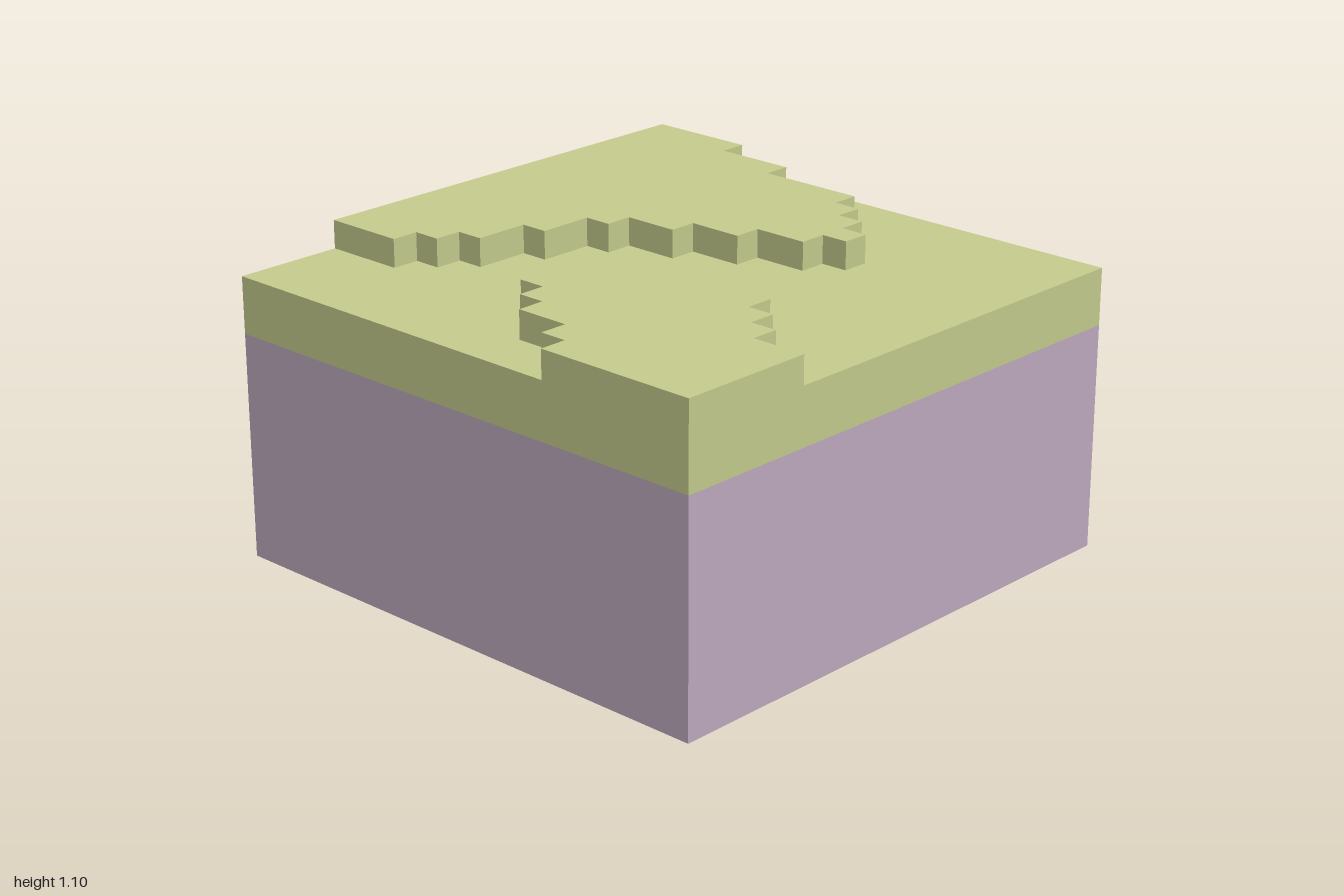
import * as THREE from 'three';

const grass = new THREE.MeshStandardMaterial({ name: 'grassGreen', color: 0xc3ca8c });
const rock = new THREE.MeshStandardMaterial({ name: 'mauveRock', color: 0xbca9be });

// Box slab covering the whole square between two heights
function slab(name, y0, y1, material) {
  const mesh = new THREE.Mesh(new THREE.BoxGeometry(2, y1 - y0, 2), material);
  mesh.position.y = (y0 + y1) / 2;
  mesh.name = name;
  return mesh;
}

// Raised terrace: columns are [xStart, xEnd, zBack, zFront], ordered along x
function terrace(name, columns) {
  const front = columns.flatMap(([x0, x1, , z]) => [[x0, z], [x1, z]]);
  const back = columns.flatMap(([x0, x1, z]) => [[x0, z], [x1, z]]).reverse();
  const outline = [...front, ...back]
    .filter(([x, z], i, a) => i === 0 || x !== a[i - 1][0] || z !== a[i - 1][1])
    .map(([x, z]) => new THREE.Vector2(x, -z));
  const geometry = new THREE.ExtrudeGeometry(new THREE.Shape(outline), { depth: 0.1, bevelEnabled: false });
  geometry.rotateX(-Math.PI / 2);
  const mesh = new THREE.Mesh(geometry, grass);
  mesh.position.y = 1;
  mesh.name = name;
  return mesh;
}

export function createModel() {
  const group = new THREE.Group();
  group.name = 'terrainBlock';

  // Rock base and the low grass layer
  group.add(slab('rockBase', 0, 0.8, rock), slab('grassLayer', 0.8, 1, grass));

  // Large terrace along the back, with a stepped front edge
  group.add(terrace('backTerrace', [
    [-0.6, -0.5, -0.7], [-0.5, -0.4, -0.6], [-0.4, -0.2, -0.5], [-0.2, 0, -0.4],
    [0, 0.1, -0.3], [0.1, 0.2, -0.1], [0.2, 0.3, 0.1], [0.3, 0.4, 0.3],
    [0.4, 0.5, 0.4], [0.5, 0.6, 0.3], [0.6, 0.7, 0.2], [0.7, 0.8, 0.1],
    [0.8, 0.9, -0.3], [0.9, 1, -0.6],
  ].map(([x0, x1, z]) => [x0, x1, -1, z])));

  // Smaller terrace in the front corner
  group.add(terrace('frontTerrace', [
    [-1, -0.9, 0.4, 1], [-0.9, -0.8, 0.3, 1], [-0.8, -0.7, 0.1, 1], [-0.7, -0.6, 0, 1],
    [-0.6, -0.5, -0.1, 1], [-0.5, -0.4, -0.1, 0.8], [-0.4, -0.3, 0, 0.7], [-0.3, -0.2, 0.1, 0.6],
  ]));

  return group;
}
